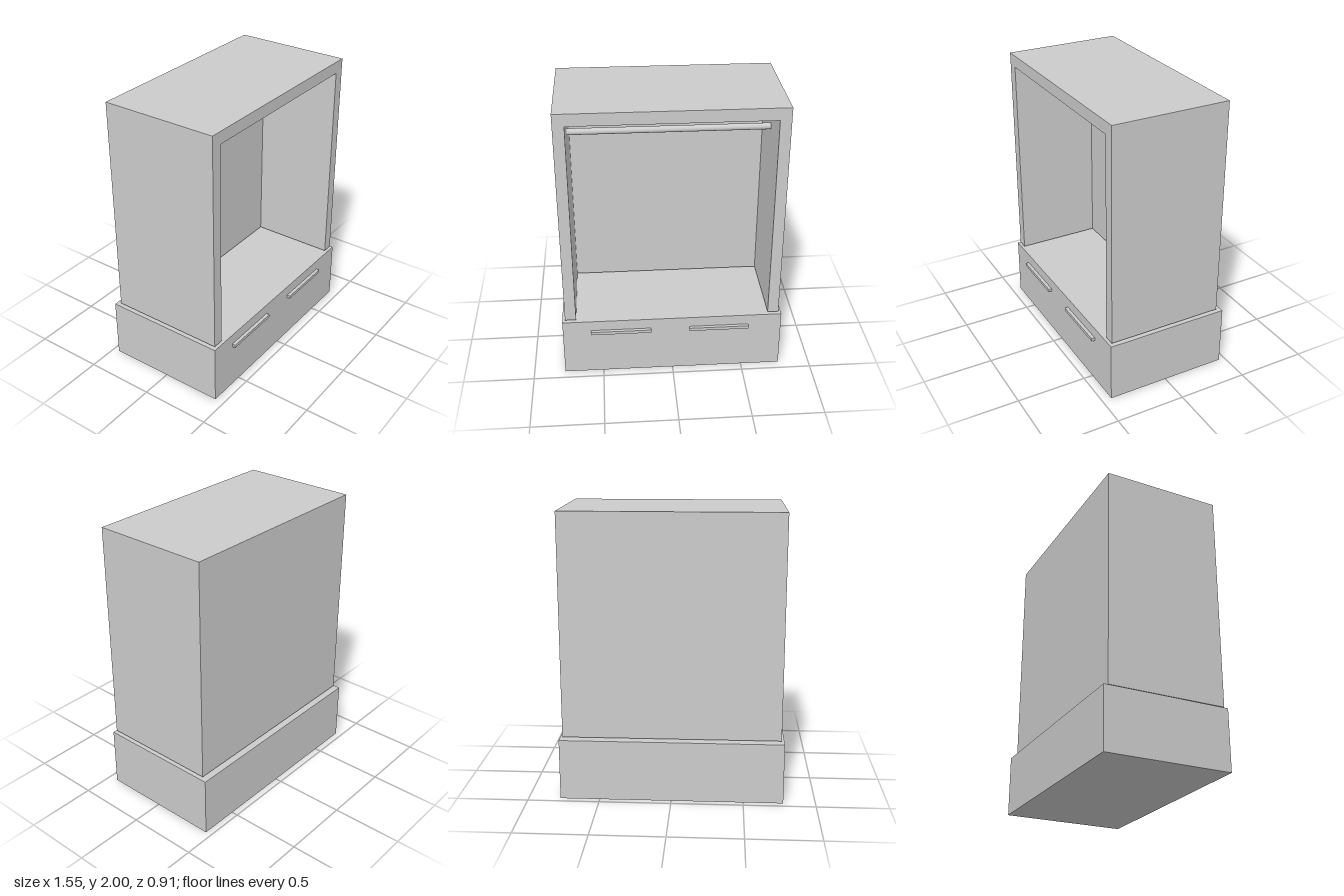
import * as THREE from 'three';

const material = new THREE.MeshStandardMaterial({ color: 0xcccccc });

// Box given by its min and max corners
function box(name, [x0, y0, z0], [x1, y1, z1]) {
  const mesh = new THREE.Mesh(new THREE.BoxGeometry(x1 - x0, y1 - y0, z1 - z0), material);
  mesh.position.set((x0 + x1) / 2, (y0 + y1) / 2, (z0 + z1) / 2);
  mesh.name = name;
  return mesh;
}

export function createModel() {
  const group = new THREE.Group();
  group.name = 'wardrobe';

  const W = 0.757, IN = 0.68;             // outer and inner half widths
  const BOTTOM = 0.442, INTOP = 1.915, TOP = 2;
  const BACK = -0.415, INBACK = -0.185, FRONT = 0.417;

  // Drawer base, slightly wider and deeper than the cabinet
  group.add(box('drawerBase', [-0.777, 0, -0.455], [0.777, 0.43, 0.432]));

  // Drawer handles
  group.add(box('rightHandle', [-0.577, 0.331, 0.432], [-0.153, 0.354, 0.456]));
  group.add(box('leftHandle', [0.12, 0.331, 0.432], [0.541, 0.354, 0.456]));

  // Cabinet sides and top: one arch, open at the front and bottom
  const arch = new THREE.Shape([
    [-W, BOTTOM], [-IN, BOTTOM], [-IN, INTOP], [IN, INTOP],
    [IN, BOTTOM], [W, BOTTOM], [W, TOP], [-W, TOP],
  ].map(([x, y]) => new THREE.Vector2(x, y)));
  const frame = new THREE.Mesh(
    new THREE.ExtrudeGeometry(arch, { depth: FRONT - BACK, bevelEnabled: false }), material);
  frame.position.z = BACK;
  frame.name = 'cabinetFrame';
  group.add(frame);

  // Thick back filling the arch
  group.add(box('cabinetBack', [-IN, BOTTOM, BACK], [IN, INTOP, INBACK]));

  // Hanging rail
  const rail = new THREE.Mesh(new THREE.CylinderGeometry(0.022, 0.022, IN * 2, 32), material);
  rail.rotation.z = Math.PI / 2;
  rail.position.set(0, 1.748, 0.115);
  rail.name = 'hangingRail';
  group.add(rail);

  return group;
}
